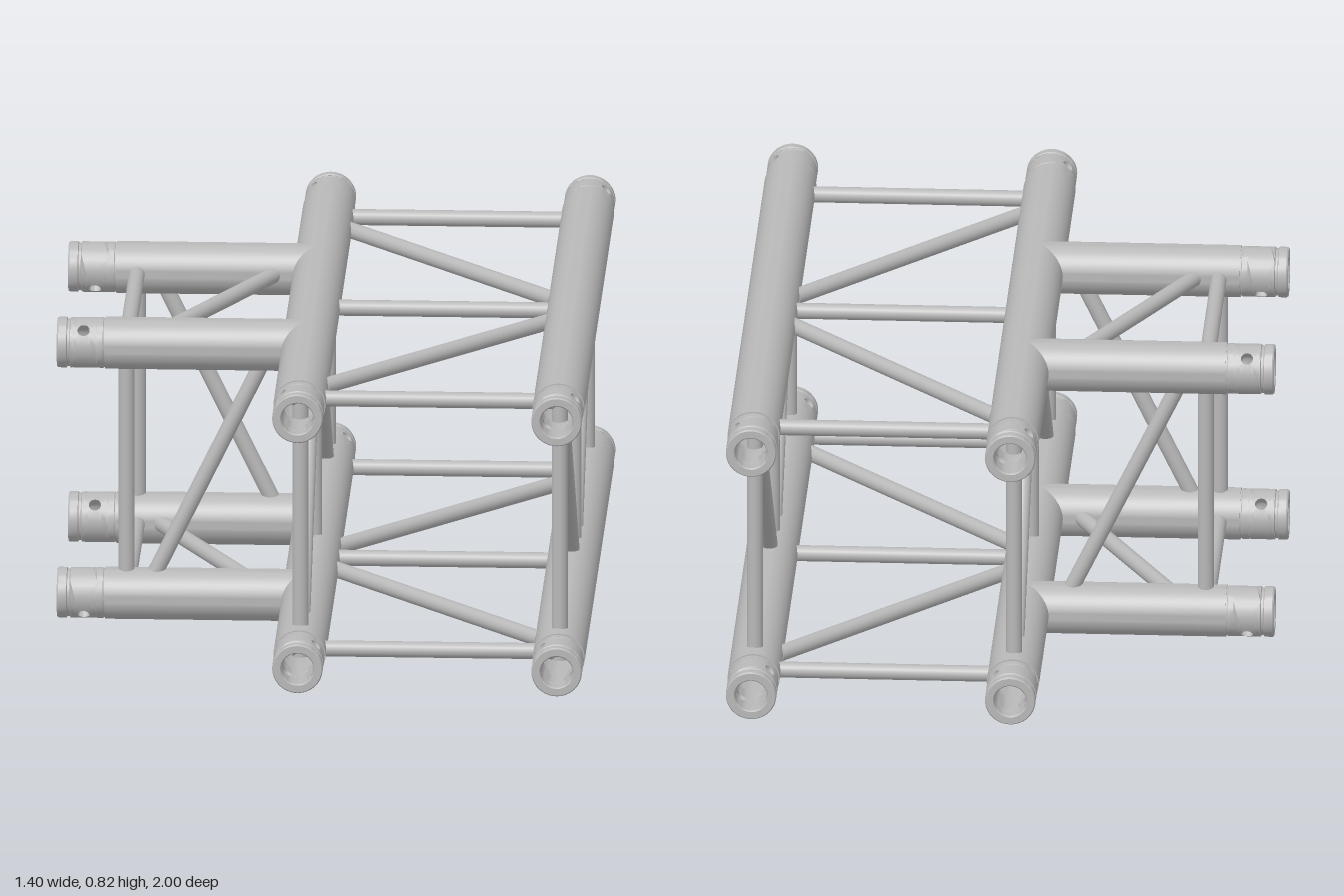
import * as THREE from 'three';
import { mergeGeometries, toCreasedNormals } from 'three/addons/utils/BufferGeometryUtils.js';

const R = 0.068, BORE = 0.058;            // chord tube
const SLEEVE = 0.066, SOCKET = 0.042;     // end couplers
const COUPLER = 0.125;                    // coupler length outside the tube
const STRUT = 0.021;
const XL = 0.632, XR = -0.045;            // long chord axes
const YB = 0.068, YT = 0.75;
const ZS = 0.338, TIP = -0.7;             // side branch axes and tip
const SIDES = 48;

const v = (x, y, z) => new THREE.Vector3(x, y, z);
const lathe = (pts) => new THREE.LatheGeometry(pts.map(([r, y]) => new THREE.Vector2(r, y)), SIDES);
const crease = (g) => toCreasedNormals(g, 0.5);

// A grid whose vertices are placed by fn(u, t) -> [radius, angle, y]
function surface(nu, nt, fn) {
  const g = new THREE.PlaneGeometry(1, 1, nu, nt);
  const p = g.attributes.position, uv = g.attributes.uv;
  for (let i = 0; i < p.count; i++) {
    const [r, a, y] = fn(uv.getX(i), uv.getY(i));
    p.setXYZ(i, r * Math.cos(a), y, r * Math.sin(a));
  }
  return g;
}

// Hollow coupler, tip at y = 0, with a pin hole drilled through along local x
function couplerGeometry() {
  const hole = 0.016, mid = -0.07, half = 0.035;
  const parts = [
    lathe([[SLEEVE, mid + half], [0.062, -0.033], [0.062, -0.027], [SLEEVE, -0.025],
      [SLEEVE, -0.004], [0.063, 0], [0.045, 0], [SOCKET, -0.004], [SOCKET, mid + half]]),
    lathe([[SOCKET, mid - half], [SOCKET, -0.135], [0.064, -0.135], [0.064, -0.122],
      [SLEEVE, -0.12], [SLEEVE, mid - half]]),
  ];
  const rim = (r, th) => Math.asin(hole * Math.cos(th) / r);
  for (const side of [0, Math.PI]) {
    // half bands around the hole, outside and inside
    for (const [r, dir] of [[SLEEVE, 1], [SOCKET, -1]]) {
      parts.push(surface(48, 6, (u, t) => {
        const th = dir * u * Math.PI * 2, c = Math.cos(th), s = Math.sin(th);
        const m = Math.max(Math.abs(c), Math.abs(s));
        const a = THREE.MathUtils.lerp(rim(r, th), (c / m) * Math.PI / 2, t);
        const y = THREE.MathUtils.lerp(hole * s, (s / m) * half, t);
        return [r, side + a, mid + y];
      }));
    }
    // wall of the hole
    parts.push(surface(48, 1, (u, t) => {
      const th = u * Math.PI * 2, r = THREE.MathUtils.lerp(SOCKET, SLEEVE, t);
      return [r, side + rim(r, th), mid + hole * Math.sin(th)];
    }));
  }
  return crease(mergeGeometries(parts));
}

// Hollow tube from y = 0 to y = length; a coped tube is cut to saddle another one
function tubeGeometry(length, coped) {
  const g = lathe([[BORE, length], [BORE, 0], [R, 0], [R, length], [BORE, length]]);
  const p = g.attributes.position;
  if (coped) {
    for (let i = 0; i < p.count; i++) {
      if (p.getY(i) < 1e-6) p.setY(i, Math.abs(p.getZ(i)));
    }
  }
  return crease(g);
}

export function createModel() {
  const model = new THREE.Group();
  model.name = 'trussJunction';
  const metal = new THREE.MeshStandardMaterial({ color: 0xb8b8b8, side: THREE.DoubleSide });
  metal.name = 'aluminium grey';

  const add = (name, geometry) => {
    const m = new THREE.Mesh(geometry, metal);
    m.name = name;
    model.add(m);
    return m;
  };

  // Round bar between two points, lengthened by extra at both ends
  const strut = (name, a, b, extra = 0.02) => {
    const d = b.clone().sub(a);
    const m = add(name, new THREE.CylinderGeometry(STRUT, STRUT, d.length() + 2 * extra, 20));
    m.position.copy(a).add(b).multiplyScalar(0.5);
    m.quaternion.setFromUnitVectors(v(0, 1, 0), d.normalize());
  };

  const couplerGeo = couplerGeometry();
  const coupler = (tip, axis, holeDir) => {
    const m = add('coupler', couplerGeo);
    const x = holeDir.normalize();
    m.quaternion.setFromRotationMatrix(
      new THREE.Matrix4().makeBasis(x, axis, x.clone().cross(axis)));
    m.position.copy(tip);
  };

  const longLength = 2 - 2 * COUPLER;
  const longGeo = tubeGeometry(longLength, false);
  const branchGeo = tubeGeometry(XR - TIP - COUPLER, true);

  for (const [y, up] of [[YB, -1], [YT, 1]]) {
    // Long chords
    for (const [x, out] of [[XL, 1], [XR, -1]]) {
      const chord = add('longChord', longGeo);
      chord.rotation.x = Math.PI / 2;
      chord.position.set(x, y, -longLength / 2);
      for (const s of [1, -1]) coupler(v(x, y, s), v(0, 0, s), v(out, up, 0));
    }
    // Branch chords welded to the right-hand long chord
    for (const s of [1, -1]) {
      const branch = add('branchChord', branchGeo);
      branch.rotation.z = Math.PI / 2;
      branch.position.set(XR, y, s * ZS);
      coupler(v(TIP, y, s * ZS), v(-1, 0, 0), v(0, up, s));
    }
    // Cross bars
    for (const z of [-0.81, 0, 0.81]) strut('crossBar', v(XR, y, z), v(XL, y, z));
    strut('branchCrossBar', v(-0.52, y, -ZS), v(-0.52, y, ZS));

    // Flat diagonals, running opposite ways on top and bottom
    for (const s of [1, -1]) {
      const [zr, zl] = up > 0 ? [0.69, 0.11] : [0.11, 0.69];
      strut('flatDiagonal', v(XR + R, y, s * zr), v(XL - R, y, s * zl));
    }
    strut('branchFlatDiagonal', v(-0.45, y, up * (ZS - R)), v(-0.17, y, -up * (ZS - R)));
  }

  // Uprights
  for (const x of [XR, XL]) {
    for (const z of [-0.81, 0, 0.81]) strut('upright', v(x, YB, z), v(x, YT, z));
  }
  for (const s of [1, -1]) {
    strut('branchUpright', v(-0.52, YB, s * ZS), v(-0.52, YT, s * ZS));

    // Upright diagonals, running opposite ways on facing sides
    strut('sideDiagonal', v(XL, YT - R, s * 0.69), v(XL, YB + R, s * 0.11));
    strut('sideDiagonal', v(XR, YB + R, s * 0.69), v(XR, YT - R, s * 0.11));
    const [xb, xt] = s > 0 ? [-0.44, -0.175] : [-0.175, -0.44];
    strut('branchSideDiagonal', v(xb, YB + R, s * ZS), v(xt, YT - R, s * ZS));
  }
  return model;
}
